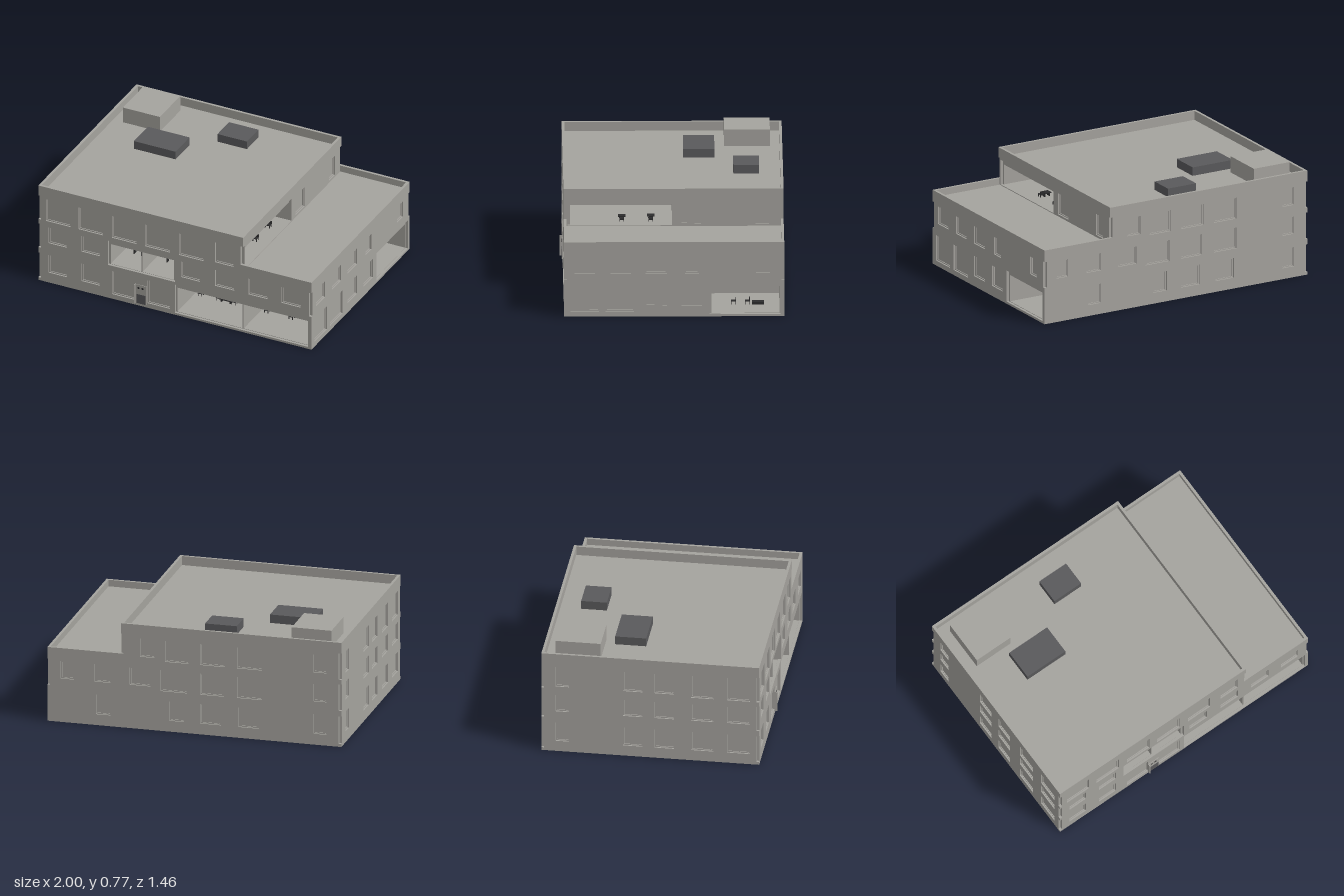
import * as THREE from 'three';

const T = 0.018; // wall thickness
const FRONT = 0.712, BACK = -0.73;
const concrete = new THREE.MeshStandardMaterial({ name: 'concrete grey', color: 0xa5a39e });
const dark = new THREE.MeshStandardMaterial({ name: 'dark grey', color: 0x5a5a5c });
const black = new THREE.MeshStandardMaterial({ name: 'furniture charcoal', color: 0x2c2c2d });

export function createModel() {
  const model = new THREE.Group();
  model.name = 'officeBuilding';

  // Box given by its extents along each axis
  function slab(name, x0, x1, y0, y1, z0, z1, mat = concrete, parent = model) {
    const mesh = new THREE.Mesh(new THREE.BoxGeometry(x1 - x0, y1 - y0, z1 - z0), mat);
    mesh.position.set((x0 + x1) / 2, (y0 + y1) / 2, (z0 + z1) / 2);
    mesh.name = name;
    parent.add(mesh);
    return mesh;
  }

  function rectPath(Type, x0, x1, y0, y1) {
    const p = new Type();
    p.moveTo(x0, y0);
    p.lineTo(x1, y0);
    p.lineTo(x1, y1);
    p.lineTo(x0, y1);
    p.closePath();
    return p;
  }

  const extrude = (shape, depth) => new THREE.ExtrudeGeometry(shape, { depth, bevelEnabled: false });

  // Wall in its own plane (outer face towards local +z) with recessed windows and open holes
  function wall(name, outline, windows, openings, place) {
    const group = new THREE.Group();
    group.name = name;
    const shape = new THREE.Shape(outline.map(([x, y]) => new THREE.Vector2(x, y)));
    for (const [a, b, c, d] of [...windows, ...openings]) shape.holes.push(rectPath(THREE.Path, a, b, c, d));
    const panel = new THREE.Mesh(extrude(shape, T), concrete);
    panel.name = name + 'Panel';
    group.add(panel);
    for (const [a, b, c, d] of windows) {
      slab('windowPane', a, b, c, d, -0.004, 0.002, concrete, group);
      const ring = rectPath(THREE.Shape, a, b, c, d);
      const e = 0.007;
      ring.holes.push(rectPath(THREE.Path, a + e, b - e, c + e, d - e));
      const frame = new THREE.Mesh(extrude(ring, 0.008), concrete);
      frame.name = 'windowFrame';
      group.add(frame);
    }
    place(group);
    model.add(group);
  }

  // Windows of one storey: list of [start, end] spans at a shared height
  const row = (y0, y1, spans) => spans.map(([a, b]) => [a, b, y0, y1]);
  const mirrorX = (list) => list.map(([a, b, c, d]) => [-b, -a, c, d]);

  // Stepped outline with notched corners, shared by front and back
  const N = T;
  const outline = [[-1, 0], [1, 0], [1, 0.25], [1 - N, 0.25], [1 - N, 0.43], [1, 0.43], [1, 0.51],
    [0.5 - N, 0.51], [0.5 - N, 0.65], [0.5, 0.65], [0.5, 0.72], [-1, 0.72]];
  for (const [lo, hi] of [[0.465, 0.645], [0.25, 0.43], [0.02, 0.21]])
    outline.push([-1, hi], [-1 + N, hi], [-1 + N, lo], [-1, lo]);

  // Front wall
  wall('frontWall', outline, [
    ...row(0.465, 0.63, [[-0.945, -0.765], [-0.705, -0.525], [-0.46, -0.28], [-0.22, -0.035], [0.03, 0.21]]),
    ...row(0.48, 0.63, [[0.295, 0.43]]),
    ...row(0.3, 0.42, [[-0.925, -0.79], [-0.685, -0.55], [0.045, 0.185], [0.295, 0.435], [0.54, 0.68], [0.78, 0.92]]),
    ...row(0.075, 0.21, [[-0.925, -0.79], [-0.685, -0.55]]),
    ...row(0.035, 0.21, [[-0.46, -0.29], [-0.2, -0.035]]),
  ], [[0, 0.975, 0.015, 0.23], [-0.49, 0, 0.25, 0.435]],
  (g) => g.position.set(0, 0, FRONT - T));

  // Back wall, spans written in model x and mirrored
  wall('backWall', outline.map(([x, y]) => [-x, y]).reverse(), mirrorX([
    ...row(0.5, 0.625, [[0.27, 0.37], [-0.9, -0.81]]),
    ...row(0.48, 0.625, [[0.04, 0.2], [-0.21, -0.04], [-0.46, -0.29]]),
    ...row(0.3, 0.42, [[0.82, 0.91], [0.57, 0.68], [0.3, 0.44], [-0.9, -0.81]]),
    ...row(0.275, 0.42, [[0.05, 0.23], [-0.2, -0.04], [-0.46, -0.29]]),
    ...row(0.075, 0.21, [[0.57, 0.67], [0.07, 0.17], [-0.18, -0.04], [-0.44, -0.3], [-0.9, -0.81]]),
  ]), [], (g) => { g.rotation.y = Math.PI; g.position.z = BACK + T; });

  // Side walls fit between front and back; on the right ones local x is -z
  const sideRect = (a, b, y0, y1) => [[a, y0], [b, y0], [b, y1], [a, y1]];
  const rightA = -(FRONT - T), rightB = -(BACK + T);
  wall('rightWall', sideRect(rightA, rightB, 0, 0.51), [
    ...row(0.035, 0.21, [[-0.67, -0.485], [-0.44, -0.255]]),
    ...row(0.07, 0.21, [[-0.18, -0.04], [0.055, 0.19]]),
    ...row(0.295, 0.415, [[-0.645, -0.51], [-0.41, -0.275], [-0.18, -0.04], [0.08, 0.17], [0.545, 0.635]]),
  ], [[0.24, 0.705, 0.015, 0.23]],
  (g) => { g.rotation.y = Math.PI / 2; g.position.x = 1 - T; });

  wall('upperRightWall', sideRect(rightA, rightB, 0.44, 0.72),
    row(0.48, 0.625, [[0.055, 0.19], [0.545, 0.635]]), [[-0.685, 0, 0.47, 0.64]],
    (g) => { g.rotation.y = Math.PI / 2; g.position.x = 0.5 - T; });

  const leftSpans = [[-0.635, -0.545], [-0.19, -0.06], [0.02, 0.15], [0.26, 0.41], [0.5, 0.65]];
  wall('leftWall', sideRect(BACK + T, FRONT - T, 0, 0.72), [
    ...row(0.48, 0.625, leftSpans.slice(0, 3)), ...row(0.465, 0.63, leftSpans.slice(3)),
    ...row(0.295, 0.415, leftSpans), ...row(0.075, 0.21, leftSpans),
  ], [], (g) => { g.rotation.y = -Math.PI / 2; g.position.x = -1 + T; });

  // Ground plate and the two sunken roofs
  slab('groundPlate', -1 + T, 1 - T, 0, 0.015, BACK + T, FRONT - T);
  slab('mainRoof', -1 + T, 0.5 - T, 0.645, 0.658, BACK + T, FRONT - T);
  slab('lowerRoof', 0.5, 1 - T, 0.45, 0.465, BACK + T, FRONT - T);

  // Rooftop stair housing and ventilation units
  slab('roofHousing', -0.91, -0.64, 0.658, 0.77, -0.65, -0.35);
  slab('ventUnit', -0.695, -0.39, 0.658, 0.716, -0.285, -0.08, dark);
  slab('ventUnit', -0.245, -0.03, 0.658, 0.716, -0.575, -0.405, dark);

  // Open rooms: five inner faces, open towards +z or +x; the thick ceiling doubles as lintel
  function room(name, x0, x1, y0, y1, z0, z1, open) {
    const t = 0.014;
    slab(name + 'Floor', x0 - t, x1, y0 - t, y0, z0 - t, z1);
    slab(name + 'Ceiling', x0 - t, x1, y1, y1 + 0.04, z0 - t, z1);
    slab(name + 'Side', x0 - t, x0, y0, y1, z0 - t, z1);
    slab(name + 'Back', x0 - t, x1, y0, y1, z0 - t, z0);
    if (open === 'z') slab(name + 'End', x1 - t, x1, y0, y1, z0, z1);
    else slab(name + 'End', x0, x1, y0, y1, z1 - t, z1);
  }
  const zIn = FRONT - T;
  room('lobby', 0.01, 0.98, 0.018, 0.2, 0.22, zIn, 'z');
  slab('lobbyPartition', 0.485, 0.495, 0.018, 0.2, 0.22, zIn);
  room('balconyRoom', -0.478, 0, 0.252, 0.402, 0.3, zIn, 'z');
  slab('balconyPartition', -0.255, -0.247, 0.252, 0.402, 0.3, zIn);
  room('cornerRoom', 0.55, 1 - T, 0.018, 0.2, -0.7, -0.24, 'x');
  room('terraceRoom', 0.05, 0.5 - T, 0.47, 0.608, 0, 0.685, 'x');

  // Furniture
  function chair(x, y, z) {
    const g = new THREE.Group();
    g.name = 'chair';
    slab('seat', -0.016, 0.016, 0.018, 0.022, -0.016, 0.016, black, g);
    slab('backrest', -0.016, 0.016, 0.022, 0.042, -0.016, -0.012, black, g);
    for (const sx of [-1, 1]) for (const sz of [-1, 1])
      slab('leg', sx * 0.013 - 0.002, sx * 0.013 + 0.002, 0, 0.018, sz * 0.013 - 0.002, sz * 0.013 + 0.002, black, g);
    g.position.set(x, y, z);
    model.add(g);
  }
  function table(x, y, z, w, h) {
    slab('tableTop', x - w, x + w, y + h - 0.005, y + h, z - 0.025, z + 0.025, black);
    for (const s of [-1, 1])
      slab('tableLeg', x + s * w * 0.7 - 0.003, x + s * w * 0.7 + 0.003, y, y + h - 0.005, z - 0.015, z + 0.015, black);
  }
  // Thin door outline on a back wall
  function doorway(x0, x1, y0, y1, z) {
    for (const x of [x0, x1]) slab('doorJamb', x - 0.0025, x + 0.0025, y0, y1, z, z + 0.006, black);
    slab('doorHead', x0, x1, y1 - 0.005, y1, z, z + 0.006, black);
  }
  for (const x of [0.055, 0.19, 0.3, 0.54, 0.72]) chair(x, 0.018, 0.44);
  table(0.245, 0.018, 0.44, 0.045, 0.026);
  doorway(0.125, 0.185, 0.018, 0.145, 0.22);
  doorway(0.765, 0.845, 0.018, 0.155, 0.22);
  slab('coatStand', 0.898, 0.903, 0.018, 0.12, 0.4, 0.405, black);
  for (const x of [-0.37, -0.13]) {
    table(x, 0.252, 0.5, 0.04, 0.045);
    chair(x, 0.252, 0.45);
    slab('deskScreen', x - 0.02, x + 0.02, 0.305, 0.33, 0.498, 0.502, black);
  }
  doorway(-0.37, -0.31, 0.252, 0.38, 0.3);
  doorway(-0.18, -0.12, 0.252, 0.38, 0.3);
  slab('lowBench', 0.75, 0.8, 0.018, 0.034, -0.6, -0.52, black);
  for (const z of [-0.4, -0.49]) chair(0.78, 0.018, z);
  for (const z of [0.14, 0.33]) { chair(0.4, 0.47, z); table(0.36, 0.47, z, 0.025, 0.028); }

  // Entrance door with grille and an open leaf
  slab('entranceDoor', -0.285, -0.205, 0.02, 0.16, FRONT - 0.002, FRONT + 0.004);
  slab('doorGrille', -0.278, -0.212, 0.02, 0.088, FRONT, FRONT + 0.006, dark);
  slab('doorLeaf', -0.29, -0.285, 0.02, 0.16, FRONT, 0.73);
  for (const x of [-0.27, -0.24]) slab('doorPeephole', x, x + 0.012, 0.13, 0.142, FRONT, FRONT + 0.006, black);
  return model;
}
